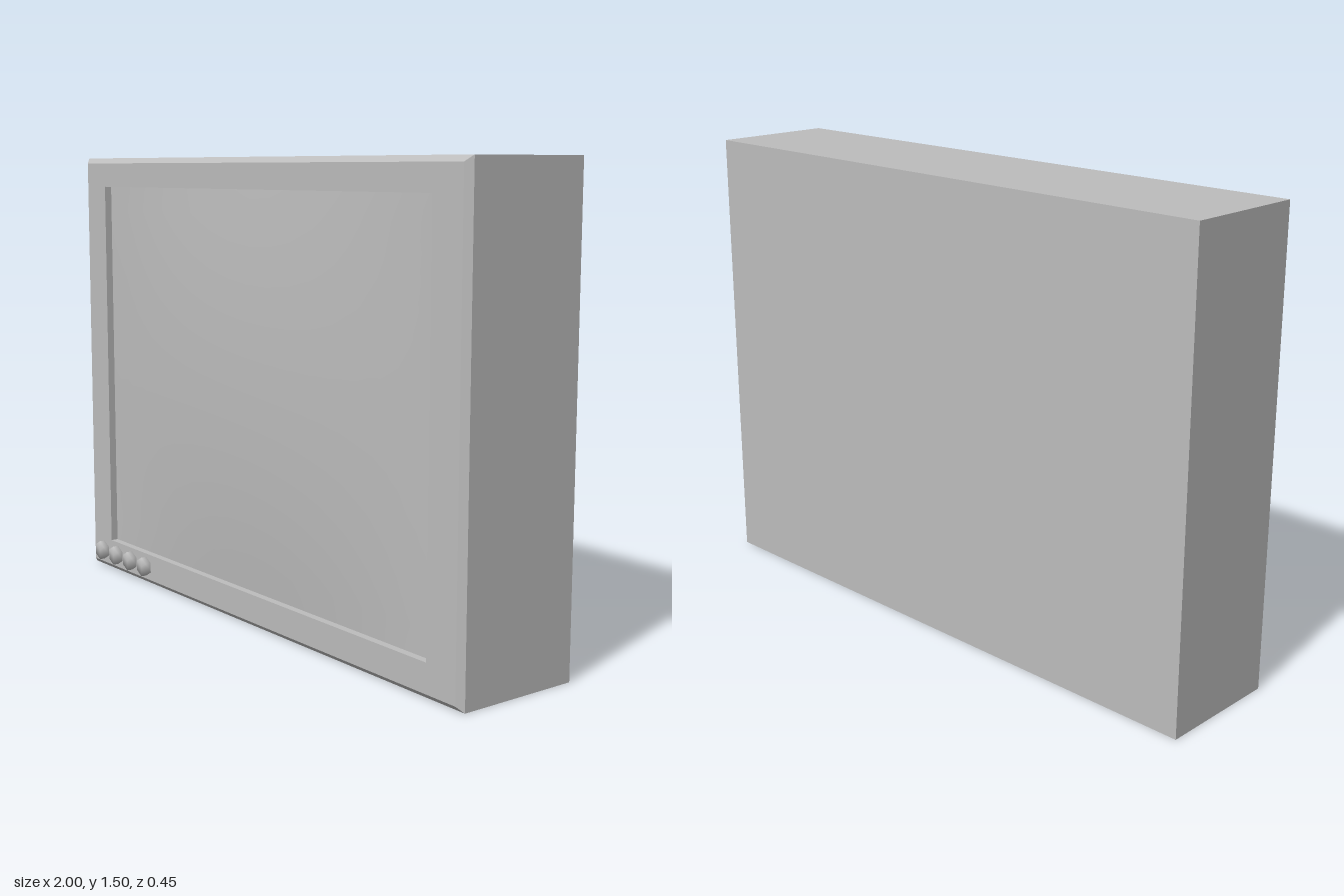
import * as THREE from 'three';
import { mergeVertices } from 'three/addons/utils/BufferGeometryUtils.js';

const MID_Y = 0.755;           // centre height of the screen opening
const HALF_W = 0.86, HALF_H = 0.645;
const FRONT = 0.205, RECESS = 0.18, BULGE = 0.03;

// Corners of a rectangle, counter-clockwise seen from the front
function ring(x, y0, y1, z) {
  return [[-x, y0, z], [x, y0, z], [x, y1, z], [-x, y1, z]];
}

// Flat-sided shell through successive rectangles, closed at the first one
function shell(rings) {
  const pos = [];
  const quad = (a, b, c, d) => pos.push(...a, ...b, ...c, ...a, ...c, ...d);
  const [a, b, c, d] = rings[0];
  quad(d, c, b, a);
  for (let r = 0; r < rings.length - 1; r++) {
    for (let i = 0; i < 4; i++) {
      const j = (i + 1) % 4;
      quad(rings[r][i], rings[r][j], rings[r + 1][j], rings[r + 1][i]);
    }
  }
  const geo = new THREE.BufferGeometry();
  geo.setAttribute('position', new THREE.Float32BufferAttribute(pos, 3));
  geo.computeVertexNormals();
  return geo;
}

export function createModel() {
  const group = new THREE.Group();
  const grey = new THREE.MeshStandardMaterial({ color: 0xbcbcbc });
  grey.name = 'grey';

  const add = (name, geo) => {
    const mesh = new THREE.Mesh(geo, grey);
    mesh.name = name;
    group.add(mesh);
    return mesh;
  };

  // Casing: box, chamfered front edge, bezel and recess walls
  const y0 = MID_Y - HALF_H, y1 = MID_Y + HALF_H;
  add('casing', shell([
    ring(1, 0, 1.5, -0.225),
    ring(1, 0, 1.5, 0.187),
    ring(0.98, 0.018, 1.482, FRONT),
    ring(HALF_W, y0, y1, FRONT),
    ring(HALF_W, y0, y1, RECESS),
  ]));

  // Screen: bulging pane with straight edges
  const screen = new THREE.PlaneGeometry(HALF_W * 2, HALF_H * 2, 16, 16);
  const p = screen.attributes.position;
  for (let i = 0; i < p.count; i++) {
    const u = p.getX(i) / HALF_W, v = p.getY(i) / HALF_H;
    p.setZ(i, BULGE * (1 - u * u) * (1 - v * v));
  }
  screen.computeVertexNormals();
  add('screen', screen).position.set(0, MID_Y, RECESS);

  // Knobs: six-sided with softened shading
  let knob = new THREE.CylinderGeometry(0.034, 0.034, 0.03, 6);
  knob.rotateX(Math.PI / 2);
  knob.deleteAttribute('normal');
  knob.deleteAttribute('uv');
  knob = mergeVertices(knob);
  knob.computeVertexNormals();
  for (let i = 0; i < 4; i++) {
    add('knob' + (i + 1), knob).position.set(-0.912 + i * 0.098, 0.064, 0.211);
  }

  return group;
}
